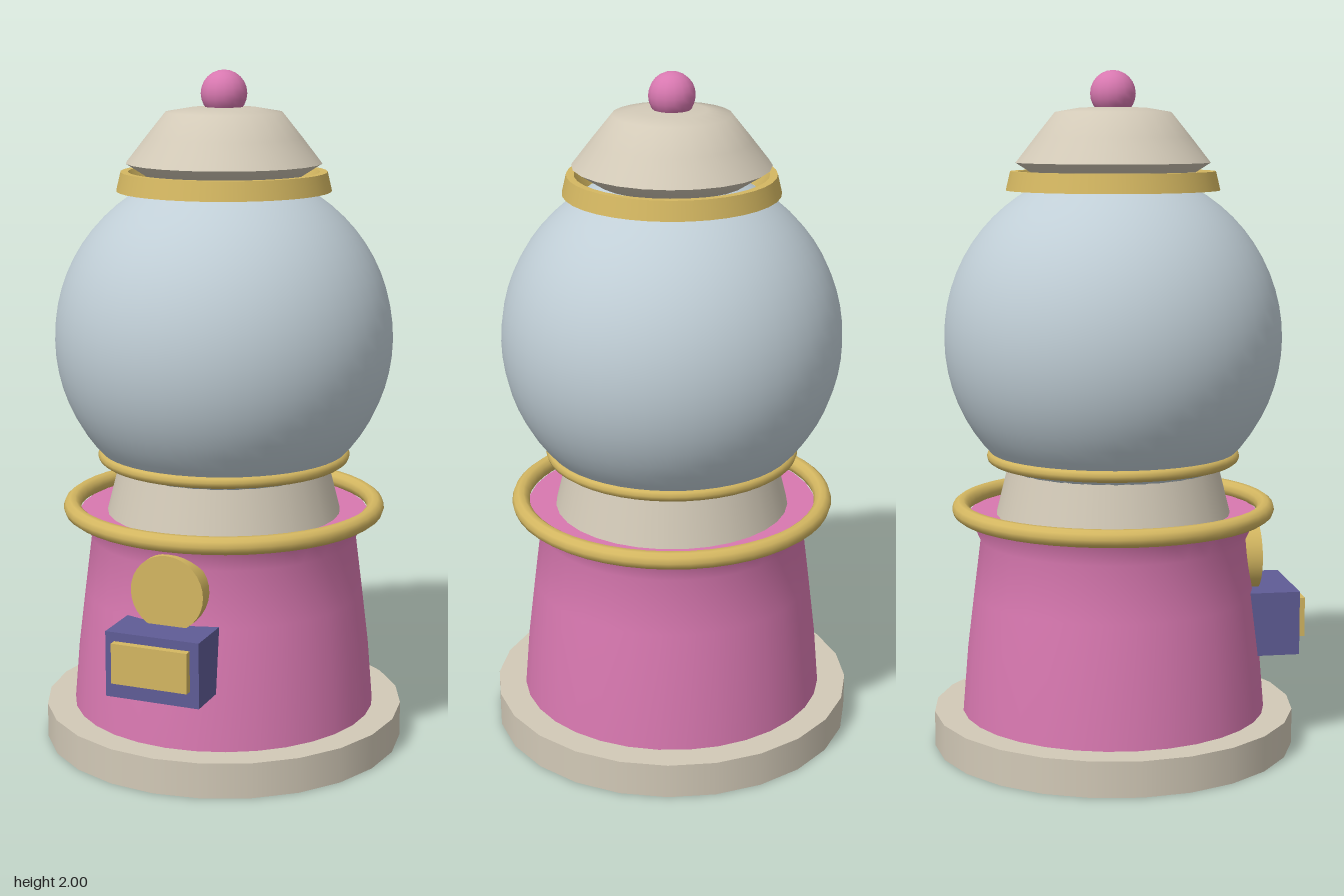
import * as THREE from 'three';

const mat = (name, color) => {
  const m = new THREE.MeshStandardMaterial({ color });
  m.name = name;
  return m;
};

export function createModel() {
  const pink = mat('pink', 0xd878b0);
  const cream = mat('cream', 0xd2c9b7);
  const gold = mat('gold', 0xd4b761);
  const glass = mat('pale blue glass', 0xc0ced6);
  const purple = mat('purple', 0x5f5c96);

  const root = new THREE.Group();
  root.name = 'candyDispenser';
  const axisZ = -0.012;

  const add = (name, geometry, material, x, y, z) => {
    const mesh = new THREE.Mesh(geometry, material);
    mesh.name = name;
    mesh.position.set(x, y, z);
    root.add(mesh);
    return mesh;
  };
  // Round part from a profile of [radius, height], bottom to top
  const turn = (name, profile, material, segments = 32) =>
    add(name, new THREE.LatheGeometry(profile.map(([r, y]) => new THREE.Vector2(r, y)), segments),
      material, 0, 0, axisZ);
  const ring = (name, radius, tube, y) => {
    const g = new THREE.TorusGeometry(radius, tube, 10, 48);
    g.rotateX(Math.PI / 2);
    return add(name, g, gold, 0, y, axisZ);
  };

  // Base and body
  add('basePlate', new THREE.CylinderGeometry(0.54, 0.54, 0.105, 24), cream, 0, 0.0525, axisZ);
  turn('body', [[0.455, 0.1], [0.44, 0.28], [0.418, 0.46], [0.397, 0.625], [0.432, 0.7]], pink);
  const top = new THREE.CircleGeometry(0.432, 32);
  top.rotateX(-Math.PI / 2);
  add('bodyTop', top, pink, 0, 0.7, axisZ);
  ring('bodyRing', 0.454, 0.026, 0.716);

  // Neck, globe and its lower ring
  add('neck', new THREE.CylinderGeometry(0.312, 0.35, 0.15, 32), cream, 0, 0.77, axisZ);
  add('neckRim', new THREE.CylinderGeometry(0.315, 0.315, 0.02, 32), cream, 0, 0.85, axisZ);
  ring('globeRing', 0.356, 0.019, 0.873);
  add('globe', new THREE.SphereGeometry(0.497, 48, 32), glass, 0, 1.225, axisZ);

  // Collar: closed ring with a sloping outer face, each face separate for crisp edges
  const collar = [[0.25, 1.655], [0.313, 1.655], [0.3, 1.71], [0.278, 1.71], [0.25, 1.655]];
  for (let i = 0; i < collar.length - 1; i++) {
    turn('lidCollar', [collar[i], collar[i + 1]], gold, 36);
  }

  // Lid and knob
  turn('lidUnderside', [[0, 1.69], [0.215, 1.69], [0.285, 1.735]], cream, 24);
  turn('lid', [[0.285, 1.735], [0.228, 1.808], [0.17, 1.88], [0.1, 1.892], [0, 1.897]], cream, 24);
  add('knob', new THREE.SphereGeometry(0.067, 16, 12), pink, 0, 1.933, axisZ);

  // Coin disc and dispensing box
  const disc = new THREE.CylinderGeometry(0.111, 0.111, 0.06, 32);
  disc.rotateX(Math.PI / 2);
  add('coinDisc', disc, gold, 0, 0.56, 0.393);
  add('dispenserBox', new THREE.BoxGeometry(0.284, 0.192, 0.2), purple, 0, 0.37, 0.43);
  add('dispenserDoor', new THREE.BoxGeometry(0.23, 0.118, 0.035), gold, 0, 0.381, 0.535);

  return root;
}
